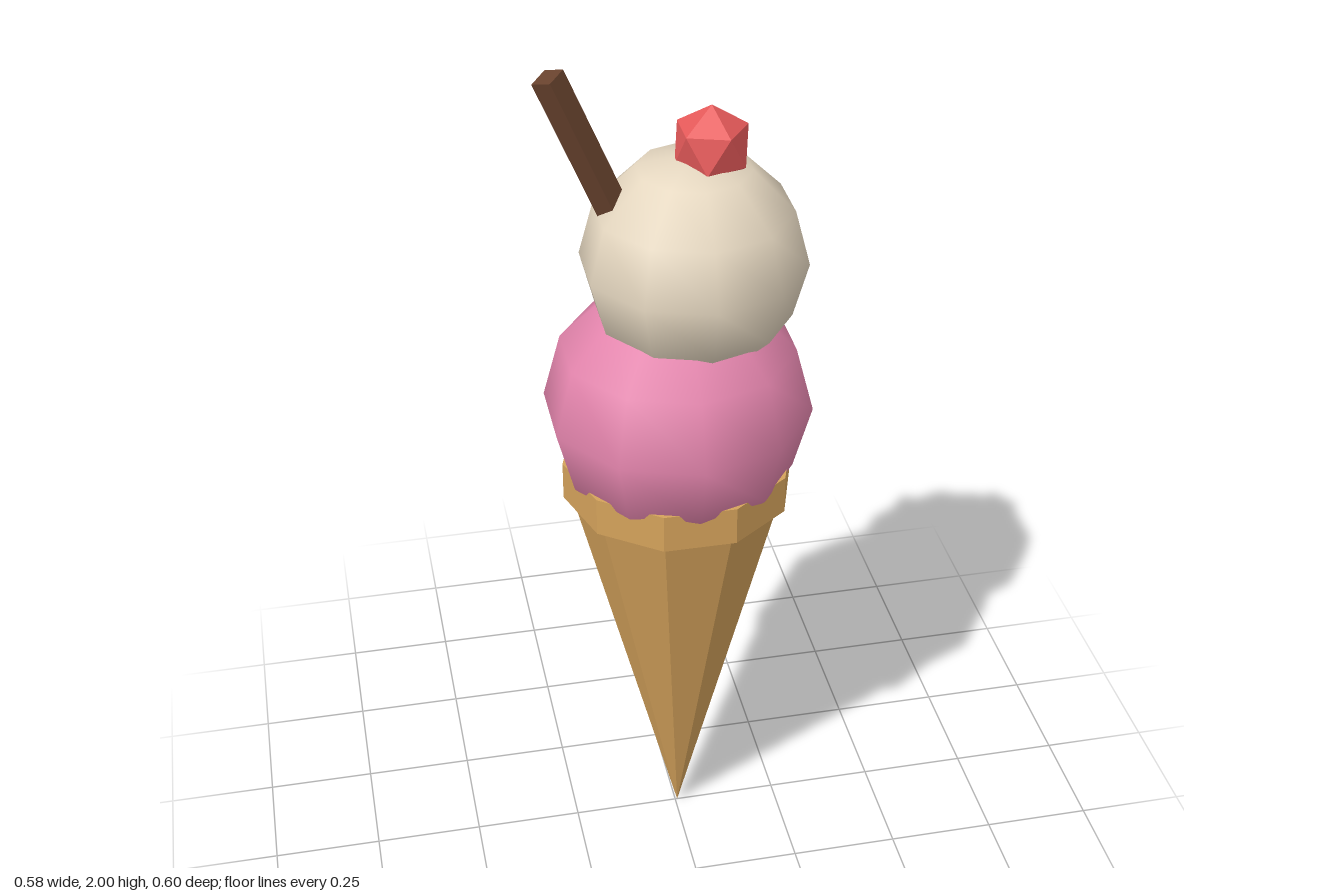
import * as THREE from 'three';

const mat = (name, color, flatShading) => {
  const m = new THREE.MeshStandardMaterial({ color, flatShading });
  m.name = name;
  return m;
};

export function createModel() {
  const group = new THREE.Group();
  const wafer = mat('wafer', 0xd4a25b, true);
  const pink = mat('strawberry', 0xe485ad, false);
  const cream = mat('vanilla', 0xe5d7c0, false);
  const red = mat('cherryRed', 0xe65a5a, true);
  const brown = mat('chocolate', 0x69432e, true);

  const add = (name, geometry, material, x, y) => {
    const mesh = new THREE.Mesh(geometry, material);
    mesh.name = name;
    mesh.position.set(x, y, 0);
    group.add(mesh);
    return mesh;
  };

  const SIDES = 10, CX = 0.005;

  // Ten-sided wafer cone, tip down on the ground, corners on the x axis
  add('cone', new THREE.ConeGeometry(0.25, 1, SIDES).rotateY(Math.PI / 2).rotateX(Math.PI), wafer, CX, 0.5);

  // Wafer collar; the lower scoop pokes through its flat sides
  add('coneRim', new THREE.CylinderGeometry(0.262, 0.262, 0.09, SIDES).rotateY(Math.PI / 2), wafer, CX, 1.017);

  // Smooth scoops, corners on the z axis
  const scoop = (r) => new THREE.SphereGeometry(r, SIDES, 6).rotateY(Math.PI / 2);
  add('lowerScoop', scoop(0.3), pink, CX, 1.195);
  add('upperScoop', scoop(0.247), cream, 0.04, 1.548);

  // Cherry: icosahedron turned so that one corner points up
  const golden = (1 + Math.sqrt(5)) / 2;
  add('cherry', new THREE.IcosahedronGeometry(0.087, 0).rotateZ(-Math.atan(1 / golden)), red, 0.076, 1.811);

  // Square chocolate stick, hung from its top end and leaning outwards
  const length = 0.45;
  const stick = add('chocolateStick',
    new THREE.CylinderGeometry(0.035, 0.035, length, 4).translate(0, -length / 2, 0), brown, -0.259, 1.987);
  stick.rotation.z = 0.395;

  return group;
}
